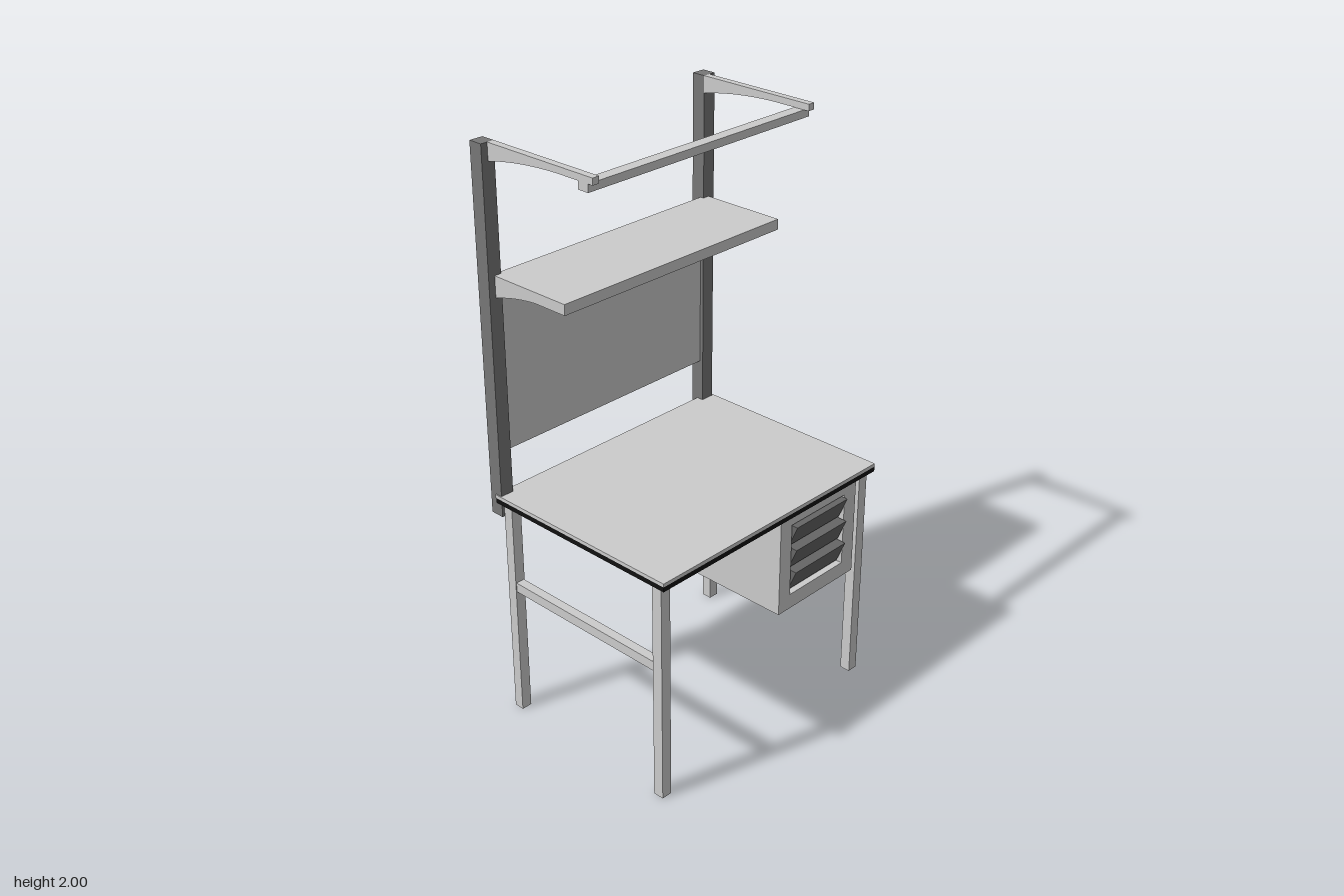
import * as THREE from 'three';

const GREY = new THREE.MeshStandardMaterial({ color: 0xcccccc });
const DARK = new THREE.MeshStandardMaterial({ color: 0x777777 });
const DRAWER = new THREE.MeshStandardMaterial({ color: 0x666666 });
const BLACK = new THREE.MeshStandardMaterial({ color: 0x111111 });

export function createModel() {
  const group = new THREE.Group();

  const add = (name, geometry, material) => {
    const mesh = new THREE.Mesh(geometry, material);
    mesh.name = name;
    group.add(mesh);
    return mesh;
  };

  // Box given by its limits on each axis
  const box = (name, [x0, x1], [y0, y1], [z0, z1], material = GREY) => {
    const g = new THREE.BoxGeometry(x1 - x0, y1 - y0, z1 - z0);
    g.translate((x0 + x1) / 2, (y0 + y1) / 2, (z0 + z1) / 2);
    return add(name, g, material);
  };

  // Side profile drawn as (z, y), extruded from x0 to x1
  const sidePlate = (name, shape, [x0, x1], material = GREY) => {
    const g = new THREE.ExtrudeGeometry(shape, { depth: x1 - x0, bevelEnabled: false, curveSegments: 10 });
    g.rotateY(-Math.PI / 2);
    g.translate(x1, 0, 0);
    return add(name, g, material);
  };

  // Limits mirrored about the frame's centre line
  const MID = -0.002;
  const mirrored = (side, near, far) =>
    side > 0 ? [MID + near, MID + far] : [MID - far, MID - near];

  // Worktop with dark core
  box('worktop', [-0.5, 0.5], [0.814, 0.826], [-0.365, 0.388]);
  box('worktopCore', [-0.5, 0.5], [0.797, 0.814], [-0.362, 0.388], BLACK);

  // Cantilever arm profile
  const arm = new THREE.Shape();
  arm.moveTo(-0.34, 2);
  arm.lineTo(-0.34, 1.942);
  arm.quadraticCurveTo(-0.2, 1.975, -0.04, 1.978);
  arm.lineTo(0.1, 1.978);
  arm.lineTo(0.1, 2);

  // Shelf bracket profile
  const bracket = new THREE.Shape();
  bracket.moveTo(-0.34, 1.583);
  bracket.lineTo(-0.34, 1.51);
  bracket.quadraticCurveTo(-0.25, 1.54, -0.16, 1.547);
  bracket.lineTo(-0.033, 1.547);
  bracket.lineTo(-0.033, 1.583);

  for (const side of [-1, 1]) {
    const label = side > 0 ? 'left' : 'right';
    const legX = mirrored(side, 0.45, 0.488);
    box(label + 'FrontLeg', legX, [0, 0.797], [0.33, 0.368]);
    box(label + 'BackLeg', legX, [0, 0.797], [-0.336, -0.3]);
    box(label + 'Stretcher', mirrored(side, 0.453, 0.485), [0.477, 0.511], [-0.3, 0.33]);
    box(label + 'Post', mirrored(side, 0.445, 0.494), [0.75, 2], [-0.39, -0.34], DARK);
    sidePlate(label + 'Arm', arm, mirrored(side, 0.445, 0.47));
    sidePlate(label + 'ShelfBracket', bracket, mirrored(side, 0.445, 0.47));
    box(label + 'BarMount', mirrored(side, 0.445, 0.47), [1.952, 1.978], [0.041, 0.081]);
  }

  // Parts spanning between the posts
  const span = [MID - 0.445, MID + 0.445];
  box('topBar', span, [1.952, 1.978], [0.041, 0.081]);
  box('shelf', span, [1.547, 1.583], [-0.353, -0.033]);
  box('backPanel', span, [0.975, 1.575], [-0.365, -0.353]);

  // Drawer cabinet: body plus a front frame with an opening
  const cabX = [0.053, 0.43], cabY = [0.433, 0.797];
  box('cabinetBody', cabX, cabY, [-0.13, 0.345]);
  const rect = (C, x0, x1, y0, y1) => {
    const s = new C();
    s.moveTo(x0, y0);
    s.lineTo(x1, y0);
    s.lineTo(x1, y1);
    s.lineTo(x0, y1);
    s.closePath();
    return s;
  };
  const frame = rect(THREE.Shape, ...cabX, ...cabY);
  frame.holes.push(rect(THREE.Path, 0.107, 0.373, 0.487, 0.752));
  const frameGeo = new THREE.ExtrudeGeometry(frame, { depth: 0.023, bevelEnabled: false });
  frameGeo.translate(0, 0, 0.345);
  add('cabinetFrame', frameGeo, GREY);

  // Three drawer fronts leaning outward at the top
  for (let i = 0; i < 3; i++) {
    const y = 0.495 + i * 0.085;
    const front = new THREE.Shape();
    front.moveTo(0.34, y);
    front.lineTo(0.352, y);
    front.lineTo(0.385, y + 0.08);
    front.lineTo(0.34, y + 0.08);
    sidePlate('drawerFront' + (i + 1), front, [0.114, 0.367], DRAWER);
  }

  return group;
}
